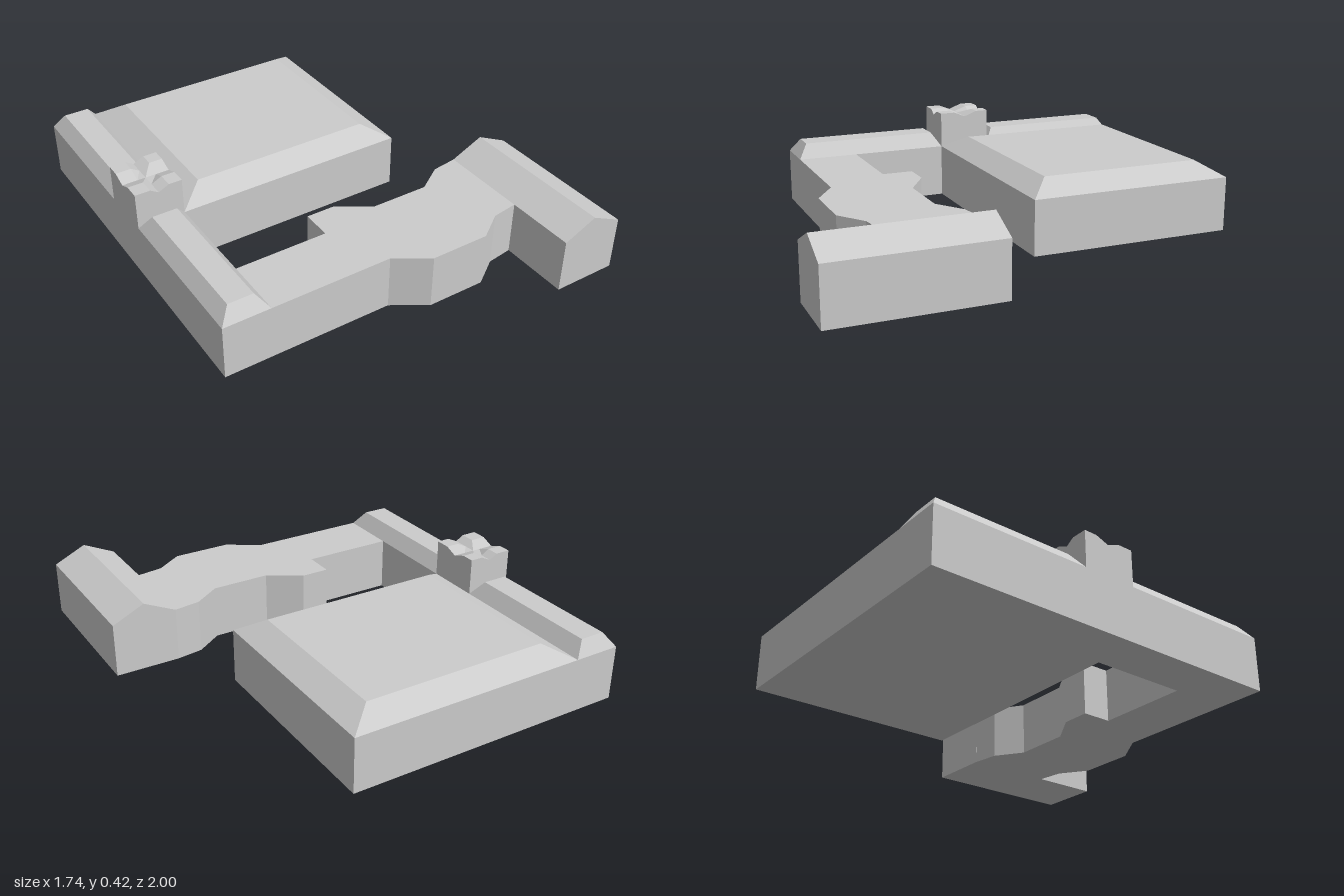
import * as THREE from 'three';

const WALL = 0.25, ROOF = 0.315;
const material = new THREE.MeshStandardMaterial({ color: 0xcccccc, flatShading: true });

function part(name, geometry) {
  const mesh = new THREE.Mesh(geometry, material);
  mesh.name = name;
  return mesh;
}

// Moves every vertex of a unit box (u, v, w in 0..1) by a rule
function shapedBox(sx, sy, sz, rule) {
  const geometry = new THREE.BoxGeometry(1, 1, 1, sx, sy, sz).toNonIndexed();
  const pos = geometry.attributes.position;
  for (let i = 0; i < pos.count; i++) {
    const [x, y, z] = rule(pos.getX(i) + 0.5, pos.getY(i) + 0.5, pos.getZ(i) + 0.5);
    pos.setXYZ(i, x, y, z);
  }
  geometry.computeVertexNormals();
  return geometry;
}

// Straight walls under a flat-topped hipped roof; base and top are [x0, x1, z0, z1]
function hippedBlock(base, top) {
  return shapedBox(1, 2, 1, (u, v, w) => {
    const r = v > 0.75 ? top : base;
    const y = v > 0.75 ? ROOF : v > 0.25 ? WALL : 0;
    return [u > 0.5 ? r[1] : r[0], y, w > 0.5 ? r[3] : r[2]];
  });
}

function extrude(points, depth) {
  const shape = new THREE.Shape(points.map(([x, y]) => new THREE.Vector2(x, y)));
  return new THREE.ExtrudeGeometry(shape, { depth, bevelEnabled: false });
}

export function createModel() {
  const model = new THREE.Group();
  model.name = 'buildingBlock';

  // Large main hall and the two lengths of the narrow side wing
  model.add(
    part('mainHall', hippedBlock([-0.655, 0.435, -1, -0.04], [-0.535, 0.32, -0.9, -0.14])),
    part('sideWingBack', hippedBlock([-0.87, -0.655, -1, -0.29], [-0.82, -0.705, -0.96, -0.335])),
    part('sideWingFront', hippedBlock([-0.87, -0.655, -0.04, 0.69], [-0.82, -0.705, 0, 0.645]))
  );

  // Tower, its top cut by two crossing V grooves
  const xs = [-0.87, -0.8, -0.763, -0.715, -0.655];
  const zs = [-0.29, -0.23, -0.168, -0.11, -0.04];
  model.add(part('tower', shapedBox(4, 1, 4, (u, v, w) => {
    const i = Math.round(u * 4), j = Math.round(w * 4);
    const top = i === 2 || j === 2 ? 0.395 : 0.418;
    return [xs[i], v > 0.5 ? top : 0, zs[j]];
  })));

  // Flat-roofed connecting hall with a winding outline, given as x, z
  const outline = [
    [-0.655, 0.41], [-0.23, 0.41], [-0.23, 0.27], [-0.1, 0.27], [0.05, 0.365],
    [0.32, 0.365], [0.445, 0.28], [0.57, 0.262], [0.57, 0.68], [0.445, 0.698],
    [0.32, 0.785], [0.05, 0.785], [-0.1, 0.69], [-0.655, 0.69]
  ];
  const hall = extrude(outline.map(([x, z]) => [x, -z]), WALL);
  hall.rotateX(-Math.PI / 2);
  model.add(part('connectingHall', hall));

  // Gabled end wing
  const gable = extrude([[0.567, 0], [0.865, 0], [0.865, WALL], [0.716, 0.32], [0.567, WALL]], 0.738);
  gable.translate(0, 0, 0.262);
  model.add(part('gabledWing', gable));

  return model;
}
